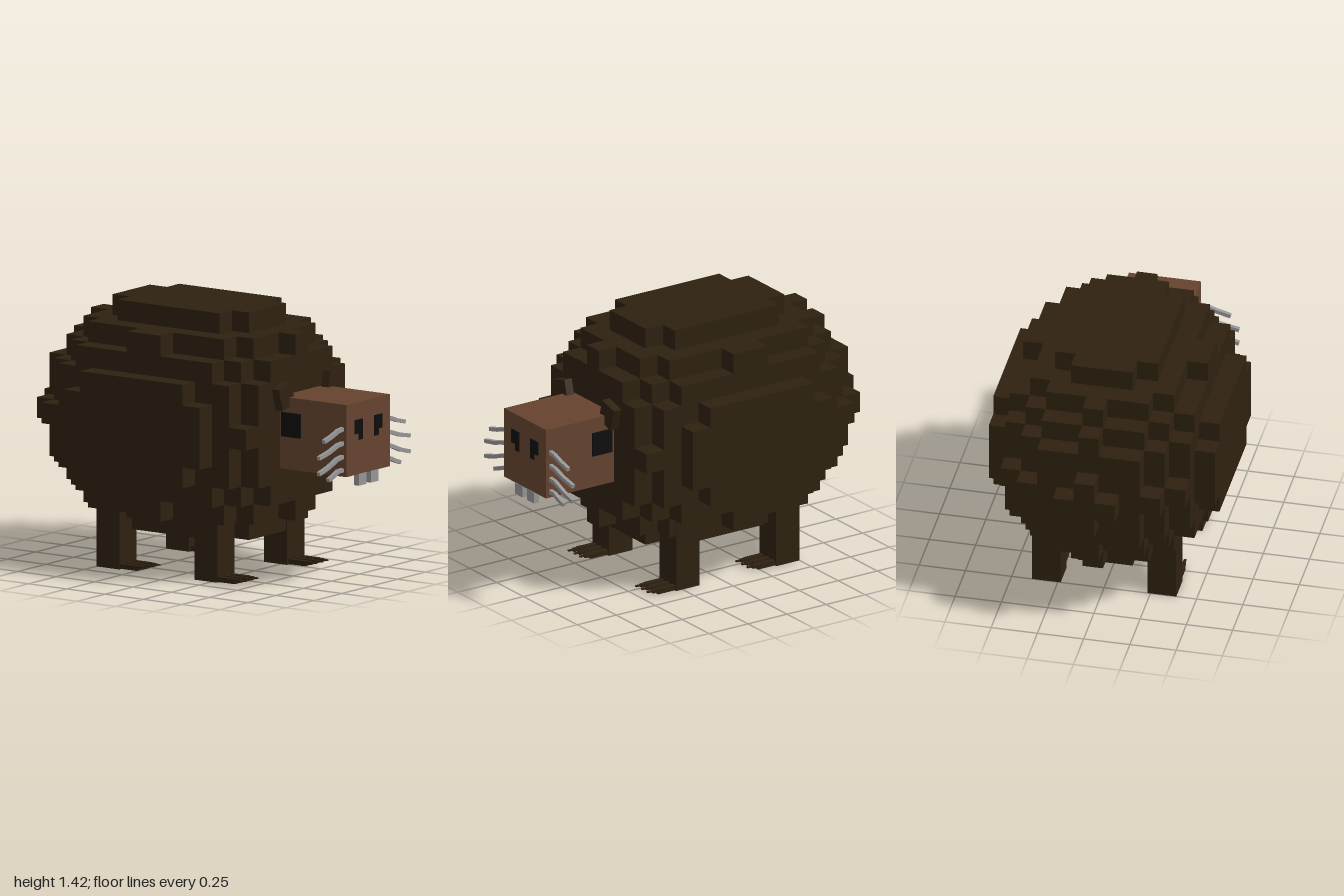
import * as THREE from 'three';
import { mergeGeometries } from 'three/addons/utils/BufferGeometryUtils.js';

const material = (name, color) => {
  const m = new THREE.MeshStandardMaterial({ color });
  m.name = name;
  return m;
};

export function createModel() {
  const fur = material('dark fur', 0x2e2110);
  const skin = material('face brown', 0x65432f);
  const black = material('black', 0x0d0d0d);
  const grey = material('tooth grey', 0x959595);
  const model = new THREE.Group();
  model.name = 'rodent';

  // Box given by its min and max corners
  const box = (name, mat, [x0, y0, z0], [x1, y1, z1], parent = model) => {
    const mesh = new THREE.Mesh(new THREE.BoxGeometry(Math.abs(x1 - x0), y1 - y0, z1 - z0), mat);
    mesh.position.set((x0 + x1) / 2, (y0 + y1) / 2, (z0 + z1) / 2);
    mesh.name = name;
    parent.add(mesh);
    return mesh;
  };

  // Body: cubes filling an ellipsoid, cut flat at the front; only outer faces are made
  const s = 1 / 9, centre = new THREE.Vector3(0, 0.811, -0.111);
  const filled = (x, y, z) => z < 6 && (x * x + y * y) / 33 + (z * z) / 59 <= 1;
  const directions = [[1, 0, 0], [-1, 0, 0], [0, 1, 0], [0, -1, 0], [0, 0, 1], [0, 0, -1]]
    .map((d) => new THREE.Vector3(...d));
  const faces = directions.map((d) => {
    const turn = new THREE.Quaternion().setFromUnitVectors(new THREE.Vector3(0, 0, 1), d);
    if (d.z < 0) turn.setFromAxisAngle(new THREE.Vector3(0, 1, 0), Math.PI);
    return new THREE.PlaneGeometry(s, s).applyQuaternion(turn).translate(d.x * s / 2, d.y * s / 2, d.z * s / 2);
  });
  const shell = [];
  for (let x = -5; x <= 5; x++)
    for (let y = -5; y <= 5; y++)
      for (let z = -7.5; z < 6; z++) {
        if (!filled(x, y, z)) continue;
        directions.forEach((d, i) => {
          if (filled(x + d.x, y + d.y, z + d.z)) return;
          shell.push(faces[i].clone().translate(centre.x + x * s, centre.y + y * s, centre.z + z * s));
        });
      }
  const body = new THREE.Mesh(mergeGeometries(shell), fur);
  body.name = 'body';
  model.add(body);

  // Head
  box('head', skin, [-0.195, 0.615, 0.5], [0.195, 1.002, 0.99]);

  const whiskers = [
    [[0.18, 0.872], [0.235, 0.865], [0.29, 0.845], [0.36, 0.827]],
    [[0.18, 0.795], [0.24, 0.788], [0.32, 0.762], [0.405, 0.745]],
    [[0.18, 0.722], [0.24, 0.715], [0.32, 0.683], [0.405, 0.66]],
    [[0.18, 0.65], [0.235, 0.648], [0.275, 0.63], [0.32, 0.615]],
  ];

  for (const side of [1, -1]) {
    const word = side > 0 ? 'left' : 'right';
    const group = new THREE.Group();
    group.name = `${word} side`;
    model.add(group);
    const part = (name, mat, [x0, y0, z0], [x1, y1, z1]) =>
      box(name, mat, [side * x0, y0, z0], [side * x1, y1, z1], group);

    // Ear and the dark patch below it
    part('ear', fur, [0.158, 0.948, 0.57], [0.272, 1.072, 0.617]).rotation.z = -0.27 * side;
    part('ear patch', black, [0.195, 0.79, 0.57], [0.204, 0.92, 0.695]);

    // Eye and tooth
    part('eye', black, [0.053, 0.835, 0.989], [0.123, 0.91, 0.995]);
    part('eye corner', black, [0.053, 0.8, 0.989], [0.089, 0.835, 0.995]);
    part('tooth', grey, [0.02, 0.553, 0.963], [0.088, 0.616, 0.993]);

    // Whiskers: short bars bent along a path
    for (const path of whiskers)
      for (let i = 0; i < path.length - 1; i++) {
        const [ax, ay] = path[i], [bx, by] = path[i + 1];
        const length = Math.hypot(bx - ax, by - ay);
        const bar = new THREE.Mesh(new THREE.BoxGeometry(length + 0.004, 0.021, 0.021), grey);
        bar.position.set(side * (ax + bx) / 2, (ay + by) / 2, 0.962);
        bar.rotation.z = side * Math.atan2(by - ay, bx - ax);
        bar.name = 'whisker';
        group.add(bar);
      }

    // Legs with three claws, each ending in a thin tip
    for (const [name, z] of [['front', 0.29], ['back', -0.35]]) {
      part(`${name} leg`, fur, [0.235, 0, z - 0.15], [0.39, 0.45, z]);
      for (const x of [0.262, 0.315, 0.368]) {
        part(`${name} claw`, fur, [x - 0.015, 0.003, z], [x + 0.015, 0.03, z + 0.11]);
        part(`${name} claw middle`, fur, [x - 0.011, 0.012, z + 0.11], [x + 0.011, 0.029, z + 0.14]);
        part(`${name} claw tip`, fur, [x - 0.007, 0.02, z + 0.14], [x + 0.007, 0.027, z + 0.17]);
      }
    }
  }
  return model;
}
